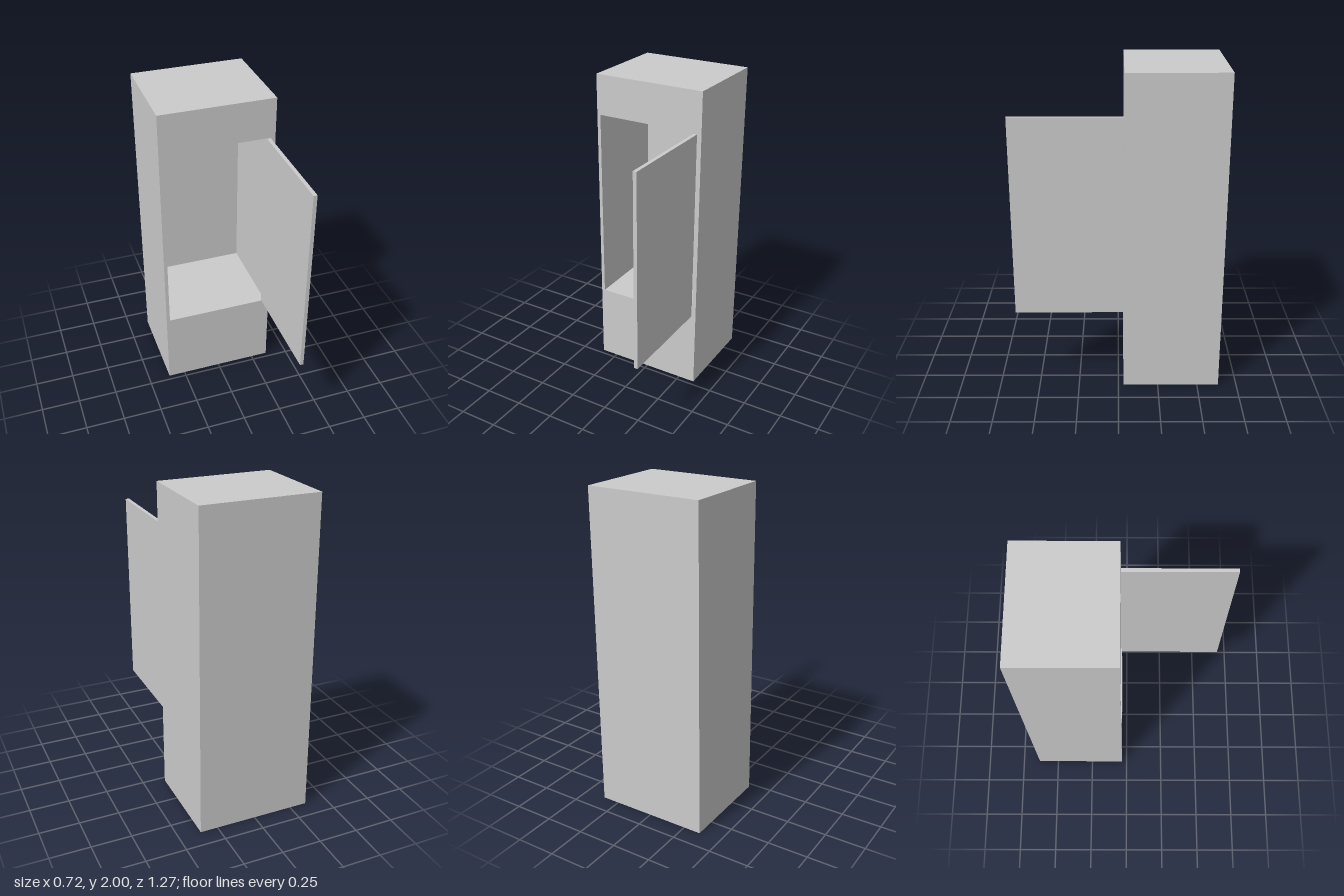
import * as THREE from 'three';

const material = new THREE.MeshStandardMaterial({ color: 0xcccccc, flatShading: true });

// Overall cabinet and its opening
const W = 0.72, H = 2, BACK = -0.635, FRONT = -0.033;
const OPEN = { x0: -0.338, x1: 0.334, y0: 0.502, y1: 1.746 };
const WALL = 0.03;

function addMesh(group, name, geometry) {
  const mesh = new THREE.Mesh(geometry, material);
  mesh.name = name;
  group.add(mesh);
  return mesh;
}

function rectangle(target, x0, y0, x1, y1) {
  target.moveTo(x0, y0);
  target.lineTo(x1, y0);
  target.lineTo(x1, y1);
  target.lineTo(x0, y1);
  target.closePath();
  return target;
}

// Box given by its two opposite corners
function boxBetween([x0, y0, z0], [x1, y1, z1]) {
  return new THREE.BoxGeometry(x1 - x0, y1 - y0, z1 - z0)
    .translate((x0 + x1) / 2, (y0 + y1) / 2, (z0 + z1) / 2);
}

export function createModel() {
  const model = new THREE.Group();
  model.name = 'cabinet';

  // Cabinet shell: solid block with a rectangular compartment cut from the front
  const outline = rectangle(new THREE.Shape(), -W / 2, 0, W / 2, H);
  outline.holes.push(rectangle(new THREE.Path(), OPEN.x0, OPEN.y0, OPEN.x1, OPEN.y1));
  const shell = new THREE.ExtrudeGeometry(outline, { depth: FRONT - BACK - WALL, bevelEnabled: false });
  shell.translate(0, 0, BACK + WALL);
  addMesh(model, 'cabinetShell', shell);

  // Back wall closing the compartment
  addMesh(model, 'backWall', boxBetween([-W / 2, 0, BACK], [W / 2, H, BACK + WALL]));

  // Door swung open at a right angle on the model's left
  addMesh(model, 'openDoor', boxBetween([0.308, 0.507, FRONT], [0.331, 1.741, 0.635]));

  return model;
}
